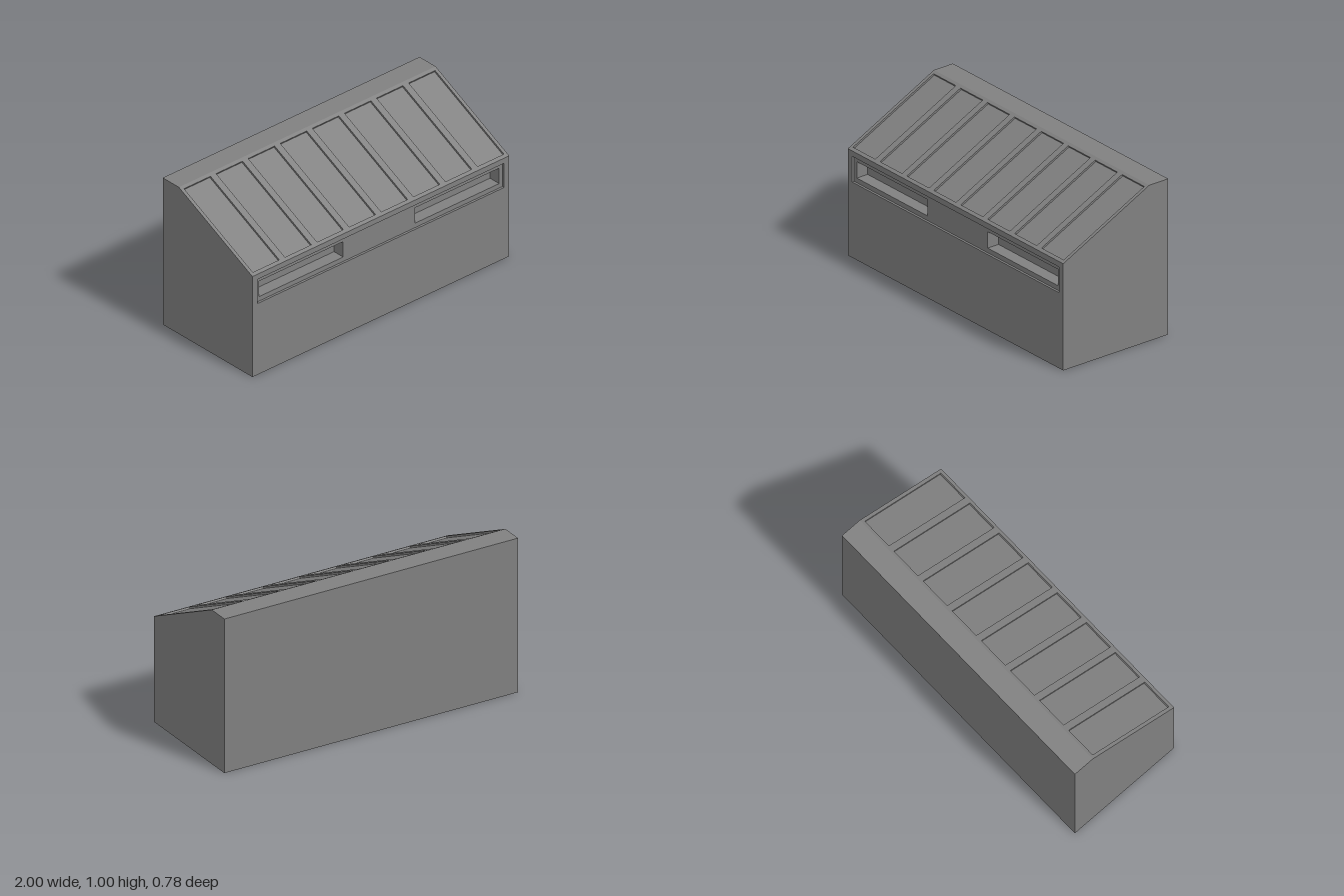
import * as THREE from 'three';

const W = 1, D = 0.39, EAVE = 0.685, TOP = 1, RIDGE_Z = -0.25;
const grey = new THREE.MeshStandardMaterial({ color: 0x808080 });
grey.name = 'grey';

// Counter-clockwise corners of a rectangle
const corners = ([x0, y0, x1, y1]) =>
  [[x0, y0], [x1, y0], [x1, y1], [x0, y1]].map(p => new THREE.Vector2(...p));

function add(parent, name, geometry) {
  const mesh = new THREE.Mesh(geometry, grey);
  mesh.name = name;
  parent.add(mesh);
  return mesh;
}

// Flat face with rectangular openings, set back to depth z
function sheet(parent, name, rect, holes = [], z = 0) {
  const shape = new THREE.Shape(corners(rect));
  holes.forEach(h => shape.holes.push(new THREE.Path(corners(h).reverse())));
  return add(parent, name, new THREE.ShapeGeometry(shape).translate(0, 0, z));
}

// Four inward-facing walls of a recess, from depth z0 back to z1
function recessWalls(parent, name, rect, z0, z1) {
  const c = corners(rect), pos = [];
  c.forEach((a, i) => {
    const b = c[(i + 1) % 4];
    pos.push(a.x, a.y, z0, b.x, b.y, z0, b.x, b.y, z1);
    pos.push(a.x, a.y, z0, b.x, b.y, z1, a.x, a.y, z1);
  });
  const g = new THREE.BufferGeometry();
  g.setAttribute('position', new THREE.Float32BufferAttribute(pos, 3));
  g.computeVertexNormals();
  return add(parent, name, g);
}

function group(parent, name) {
  const g = new THREE.Group();
  g.name = name;
  parent.add(g);
  return g;
}

export function createModel() {
  const model = new THREE.Group();
  model.name = 'slopedBuilding';

  // End walls
  for (const s of [1, -1]) {
    const profile = new THREE.Shape([
      [D, 0], [D, EAVE], [RIDGE_Z, TOP], [-D, TOP], [-D, 0],
    ].map(([z, y]) => new THREE.Vector2(-s * z, y)));
    const wall = add(model, s > 0 ? 'leftWall' : 'rightWall', new THREE.ShapeGeometry(profile));
    wall.rotation.y = s * Math.PI / 2;
    wall.position.x = s * W;
  }

  // Back wall, flat roof strip and underside
  const back = sheet(model, 'backWall', [-W, 0, W, TOP]);
  back.rotation.y = Math.PI;
  back.position.z = -D;
  const roof = sheet(model, 'flatRoof', [-W, -RIDGE_Z, W, D]);
  roof.rotation.x = -Math.PI / 2;
  roof.position.y = TOP;
  const base = sheet(model, 'underside', [-W, -D, W, D]);
  base.rotation.x = Math.PI / 2;

  // Front wall: a shallow band holding two deep slots
  const front = group(model, 'front');
  front.position.z = D;
  const band = [-0.96, 0.485, 0.96, 0.65], bandZ = -0.015, slotZ = -0.095;
  const slots = [[-0.935, 0.515, -0.28, 0.62], [0.28, 0.515, 0.935, 0.62]];
  sheet(front, 'frontWall', [-W, 0, W, EAVE], [band]);
  recessWalls(front, 'bandEdges', band, 0, bandZ);
  sheet(front, 'band', band, slots, bandZ);
  for (const slot of slots) {
    recessWalls(front, 'slotWalls', slot, bandZ, slotZ);
    sheet(front, 'slotBack', slot, [], slotZ);
  }

  // Sloping roof with eight sunken panels
  const run = D - RIDGE_Z, rise = TOP - EAVE, length = Math.hypot(run, rise);
  const slope = group(model, 'slopingRoof');
  slope.position.set(0, EAVE, D);
  slope.rotation.x = -Math.atan2(run, rise);
  const panels = Array.from({ length: 8 }, (_, i) => {
    const x = (i - 3.5) * 0.25;
    return [x - 0.103, 0.024, x + 0.103, 0.691];
  });
  const panelZ = -0.012;
  sheet(slope, 'roofFrame', [-W, 0, W, length], panels);
  for (const panel of panels) {
    recessWalls(slope, 'panelEdges', panel, 0, panelZ);
    sheet(slope, 'roofPanel', panel, [], panelZ);
  }
  return model;
}
